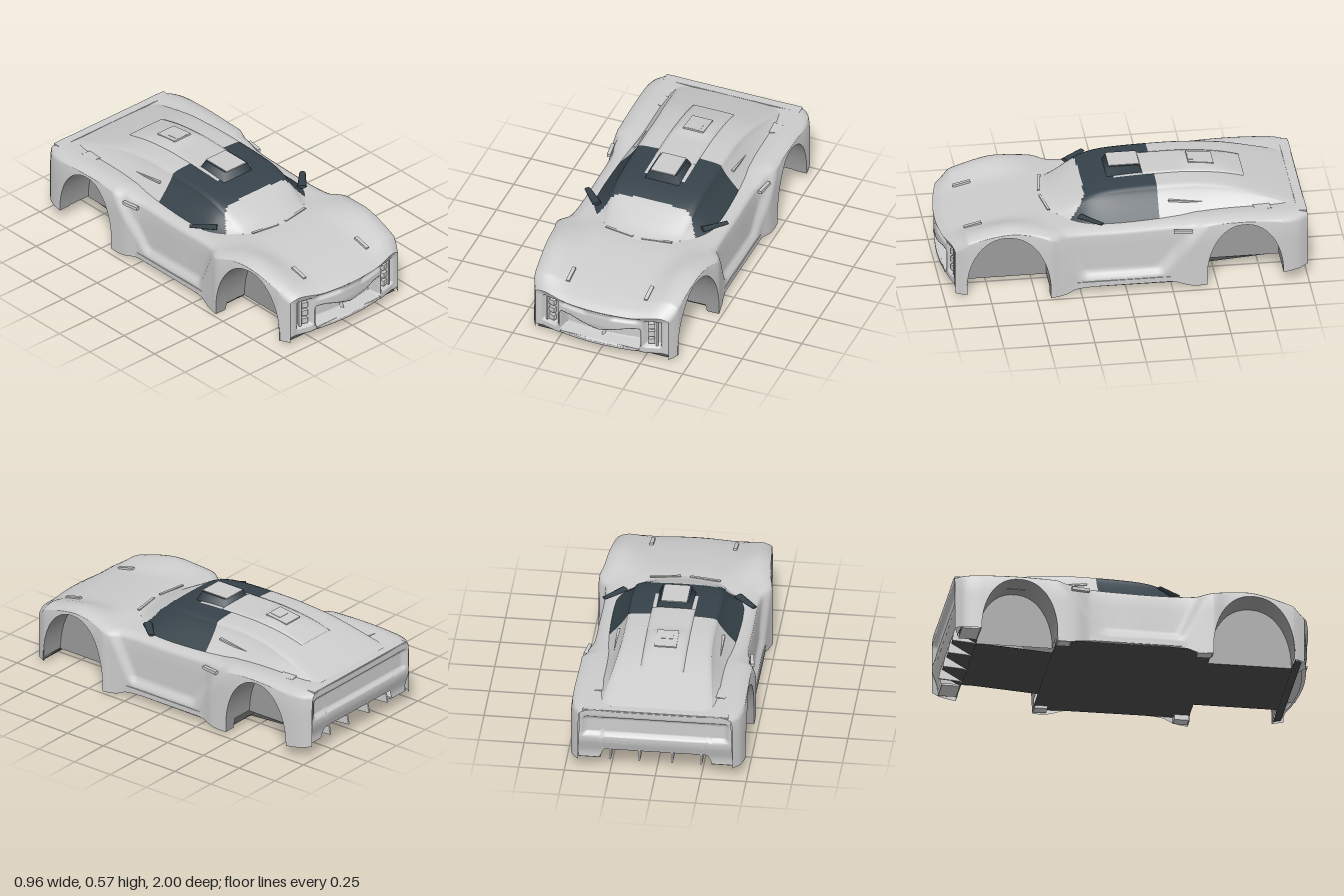
import * as THREE from 'three';

const material = color => new THREE.MeshStandardMaterial({ color, side: THREE.DoubleSide });
const grey = material(0xcccccc), dark = material(0x36424a), black = material(0x4a4a4a), shade = material(0x9a9a9a);
const { clamp, lerp } = THREE.MathUtils;
const ss = (v, a, b) => { const t = clamp((v - a) / (b - a), 0, 1); return t * t * (3 - 2 * t); };
const V = (x, y, z) => new THREE.Vector3(x, y, z);
const range = (a, b, n) => Array.from({ length: n + 1 }, (_, i) => lerp(a, b, i / n));

// Smooth curve through [z, value] knots listed from front to back
function curve(...k) {
  const slope = i => {
    const a = k[Math.max(i - 1, 0)], b = k[Math.min(i + 1, k.length - 1)];
    return (b[1] - a[1]) / (b[0] - a[0]);
  };
  return z => {
    let i = 0;
    while (i < k.length - 2 && z < k[i + 1][0]) i++;
    const [z0, a] = k[i], [z1, b] = k[i + 1], h = z1 - z0, t = clamp((z - z0) / h, 0, 1);
    const u = 1 - t;
    return u * u * (1 + 2 * t) * a + t * t * (3 - 2 * t) * b + h * (t * u * u * slope(i) - t * t * u * slope(i + 1));
  };
}

// Surface through rows of points; keep(centre) picks the cells to include
function grid(rows, keep = () => true) {
  const n = rows[0].length, pts = rows.flat(), all = [], kept = [];
  for (let i = 0; i < rows.length - 1; i++) for (let j = 0; j < n - 1; j++) {
    const a = i * n + j, cell = [a, a + n, a + 1, a + 1, a + n, a + n + 1];
    all.push(...cell);
    if (keep(pts[a].clone().add(pts[a + n + 1]).multiplyScalar(0.5))) kept.push(...cell);
  }
  const g = new THREE.BufferGeometry().setFromPoints(pts);
  g.setIndex(all);
  g.computeVertexNormals();
  g.setIndex(kept);
  return g;
}
const mirrorRow = half => [...half].reverse().concat(half.slice(1).map(p => V(-p.x, p.y, p.z)));

// Body guide curves: half width, centre height, shoulder height, sill height
const width = curve([1, .392], [.93, .414], [.85, .428], [.65, .453], [.5, .466], [.42, .48], [.37, .47], [.25, .453],
  [0, .453], [-.25, .456], [-.34, .476], [-.5, .477], [-.85, .48], [-.95, .462], [-1, .425]);
const centre = curve([1, .278], [.95, .306], [.8, .345], [.6, .375], [.45, .385], [.2, .37], [-.4, .375], [-.6, .385], [-.9, .395], [-1, .395]);
const shoulder = curve([1, .296], [.95, .32], [.85, .365], [.65, .412], [.52, .405], [.38, .378], [.2, .372], [0, .372],
  [-.3, .385], [-.45, .405], [-.65, .411], [-.85, .405], [-1, .4]);
const sill = curve([1, .02], [.88, .02], [.42, 0], [.34, .005], [.27, .03], [0, .038], [-.25, .038], [-.36, .018], [-.44, .018], [-.86, .065], [-1, .08]);
const arches = [{ z: .65, r: .23, base: .04, top: .372 }, { z: -.65, r: .21, base: .07, top: .374 }];

function bottom(z) {
  for (const a of arches) {
    const u = Math.abs(z - a.z) / a.r;
    if (u < .9999) return a.base + (a.top - a.base) * Math.pow(1 - u ** 2.2, .5);
  }
  return sill(z);
}
function side(y, z) {
  // Inset door panel with slanted front and rear edges
  const k = (y - .11) / .25, front = lerp(.25, .37, k), rear = lerp(-.2, -.4, k);
  const door = .028 * ss(z, front + .025, front - .035) * ss(z, rear - .03, rear + .04);
  return width(z) - .01 * clamp((y - .27) / .12, 0, 1.2) ** 2 - door * ss(y, .085, .12);
}
function topY(u, z) {
  const c = centre(z), s = shoulder(z);
  return lerp(c, s, ss(u, .45, .84)) - .022 * clamp((u - .84) / .16, 0, 1) ** 2;
}
const noseShift = (x, z) => -.065 * (x / .392) ** 2 * clamp((z - .87) / .13, 0, 1);
const archZ = a => range(0, Math.PI, 28).map(t => a.z + a.r * Math.cos(t));
const cabinTop = curve([.44, .383], [.38, .402], [.3, .44], [.2, .485], [.1, .513], [0, .525], [-.2, .532], [-.4, .53], [-.6, .504], [-.8, .447], [-.97, .392]);

export function createModel() {
  const car = new THREE.Group();
  car.name = 'carBody';
  const add = (name, geo, mat = grey) => {
    const m = new THREE.Mesh(geo, mat);
    m.name = name;
    car.add(m);
    return m;
  };
  const box = (name, size, pos, mat = grey, rot = [0, 0, 0]) => {
    const m = add(name, new THREE.BoxGeometry(...size), mat);
    m.position.set(...pos);
    m.rotation.set(...rot);
    return m;
  };

  // Hood, fenders, doors and rear deck, with arch cut-outs along the lower edge
  const stations = [...range(1, .89, 8), ...archZ(arches[0]), ...range(.41, -.43, 64), ...archZ(arches[1]), ...range(-.87, -1, 8)];
  const us = [0, .15, .3, .42, .5, .58, .66, .74, .8, .86, .9, .94, .97, 1];
  add('bodyShell', grid(stations.map(z => {
    const yEdge = topY(1, z), w = side(yEdge, z), b = Math.min(bottom(z), yEdge - .004);
    const half = us.map(u => V(u * w, topY(u, z), z + noseShift(u * w, z)));
    for (const y of range(yEdge, b, 18).slice(1)) half.push(V(side(y, z), y, z + noseShift(side(y, z), z)));
    return mirrorRow(half);
  })));

  // Front fascia with grille opening under a V-shaped beak, and lamp pockets
  add('frontFascia', grid(range(0, 1, 44).map(v => range(-1, 1, 96).map(u => {
    const e = side(topY(1, 1), 1), ax0 = Math.abs(u) * e;
    const y = lerp(topY(Math.abs(u), 1), ax0 < .24 ? .04 : .02, v);
    const x = u * lerp(e, side(y, 1), v), ax = Math.abs(x);
    const beak = Math.min(.15 + ax * .26, .197);
    const grille = ss(ax, .235, .222) * ss(y, .075, .085) * ss(y, beak + .006, beak - .006);
    const lamp = ss(ax, .25, .26) * ss(ax, .35, .34) * ss(y, .09, .1) * ss(y, .262, .252);
    const brow = ss(y, .235, .25) * ss(y, .28, .265) * ss(ax, .05, .1) * ss(ax, .25, .2);
    const point = .012 * ss(ax, .25, 0) * ss(y, .13, .2) * ss(y, .285, .24);
    return V(x, y, 1 + noseShift(x, 1) - .012 * ss(v, 0, .1) * ss(ax, .39, .34) + point - .012 * brow - .08 * grille - .03 * lamp - .05 * ss(y, .06, .02) * ss(v, .8, 1));
  }))));
  box('frontSplitter', [.46, .012, .06], [0, .07, .945]);
  const divider = add('grilleDivider', new THREE.CylinderGeometry(.004, .035, .075, 3));
  divider.position.set(0, .115, .9);

  // Tail panel: lip, lamp band, bumper ledge and raised centre lower edge
  add('tailPanel', grid(range(0, 1, 32).map(v => range(1, -1, 80).map(u => {
    const e = side(topY(1, -1), -1), au = Math.abs(u);
    const y = lerp(topY(au, -1), lerp(.14, .08, ss(au, .66, .74)), v);
    const x = u * lerp(e, side(y, -1), v);
    const band = ss(Math.abs(x), .41, .38) * ss(y, .235, .25) * ss(y, .36, .34);
    return V(x, y, -1 + .022 * band + .03 * ss(y, .22, .1));
  }))));
  box('tailLip', [.8, .012, .05], [0, .395, -.972]);
  box('bumperLedge', [.6, .02, .02], [0, .205, -.987]);

  // Wheel wells: arched liner and inner wall on each side
  for (const a of arches) for (const s of [1, -1]) {
    const zs = archZ(a);
    add('wheelWell', grid(zs.map(z => {
      const y = bottom(z), x = side(y, z), inner = Math.max(y, a.base);
      return [V(s * x, y, z), V(s * .41, y, z), V(s * .4, inner, z), V(s * .27, inner, z)];
    })), shade);
    add('wellInnerWall', grid(zs.map(z => [V(s * .27, Math.max(bottom(z), a.base), z), V(s * .27, a.base - .005, z)])), shade);
  }

  // Underfloor, narrowed between the wheels and rising into the diffuser
  const floorPlan = [[.92, .38, .025], [.88, .405, .025], [.88, .27, .035], [.42, .27, .035], [.42, .46, .035], [.3, .448, .035],
    [-.3, .453, .035], [-.44, .465, .035], [-.44, .27, .04], [-.86, .27, .07], [-.86, .31, .075], [-.97, .31, .14]];
  add('underfloor', grid(floorPlan.map(([z, x, y]) => [V(-x, y, z), V(x, y, z)])), black);
  for (const s of [1, -1]) {
    box('rearBumperFoot', [.14, .012, .1], [s * .375, .08, -.913]);
    // Lowered sill ends beside the arches
    box('sillFoot', [.06, .03, .08], [s * .435, .018, .375]);
    box('sillFoot', [.06, .02, .07], [s * .435, .03, -.4]);
    for (const x of [.09, .25]) {
      const fin = new THREE.Shape([[.8, .07], [.99, .085], [.975, .165], [.84, .13]].map(p => new THREE.Vector2(...p)));
      const m = add('diffuserFin', new THREE.ExtrudeGeometry(fin, { depth: .01, bevelEnabled: false }));
      m.rotation.y = Math.PI / 2;
      m.position.x = s * x - .005;
    }
  }

  // Cabin flowing into the fastback, split into painted and tinted areas
  const roofW = curve([.44, .22], [.3, .235], [.1, .245], [-.2, .245], [-.5, .25], [-.97, .31]);
  const baseW = curve([.44, .28], [.3, .345], [.1, .36], [-.2, .36], [-.5, .35], [-.97, .38]);
  const cabinRows = range(.44, -.97, 140).map(z => {
    const t = cabinTop(z), r = roofW(z), bw = baseW(z), base = Math.min(.365, t - .025);
    const half = [0, .13, .26, .4, .48, .56, .65, .74, .83, .92].map(u => V(u * r, t - .01 * u ** 3, z));
    for (const k of range(0, 1, 12)) half.push(V(lerp(r, bw, k ** 1.25), lerp(t - .015, base, k), z));
    for (const p of half) p.z -= .12 * (p.x / .35) ** 2 * ss(z, .1, .44);
    return mirrorRow(half);
  });
  const tinted = p => {
    const ax = Math.abs(p.x);
    return p.z < .2 + .12 * ss(ax, .2, .33) && p.z > -.19 && (ax > .115 || p.z > .03);
  };
  add('cabin', grid(cabinRows, p => !tinted(p)));
  add('tintedGlass', grid(cabinRows, tinted), dark);

  // Roof intake
  const intake = add('roofIntake', new THREE.CylinderGeometry(.113, .141, .05, 4, 1).rotateY(Math.PI / 4), dark);
  intake.position.set(0, .545, -.035);
  box('roofIntakeLid', [.14, .006, .17], [0, .57, -.035]);

  // Domed engine cover and its scoop
  add('engineCover', grid(range(-.13, -.69, 24).map(z => {
    const y = cabinTop(z), h = .006 + .016 * ss(z, -.33, -.41) * ss(z, -.69, -.45);
    return mirrorRow([V(0, y + h, z), V(.06, y + h, z), V(.1, y + .004 + h * .2, z), V(.118, y + .003, z), V(.121, y - .012, z)]);
  })));
  box('engineScoop', [.12, .014, .14], [0, .543, -.46], grey, [-.12, 0, 0]);
  box('engineScoopVent', [.07, .01, .07], [0, .55, -.43], grey, [-.1, 0, 0]);

  // Paired details on both flanks
  for (const s of [1, -1]) {
    const mirror = add('mirror', new THREE.CylinderGeometry(.014, .022, .15, 6), dark);
    mirror.scale.set(.5, 1, 1.2);
    mirror.rotation.set(0, s * .82, -s * Math.PI / 2, 'YXZ');
    mirror.position.set(s * .362, .404, .185);
    box('hoodVent', [.02, .012, .1], [s * .23, .35, .82], grey, [.24, 0, 0]);
    box('wiper', [.17, .006, .014], [s * .11, .392, .41], grey, [0, s * .16, 0]);
    box('rearDeckVent', [.07, .01, .09], [s * .335, .402, -.76], grey, [0, s * .2, 0]);
    box('sideIntake', [.016, .01, .22], [s * .286, .44, -.36], grey, [-.12, s * .02, 0]);
    box('doorIntake', [.02, .018, .1], [s * .452, .345, -.31], grey, [0, s * -.15, 0]);
    for (const y of [.125, .175, .225]) box('headLamp', [.035, .032, .03], [s * .29, y, .928], grey, [0, s * .35, 0]);
    box('lampPillar', [.012, .16, .03], [s * .32, .18, .924], grey, [0, s * .35, 0]);
    box('sideSkirt', [.02, .03, .6], [s * .447, .055, -.02]);
  }
  return car;
}
